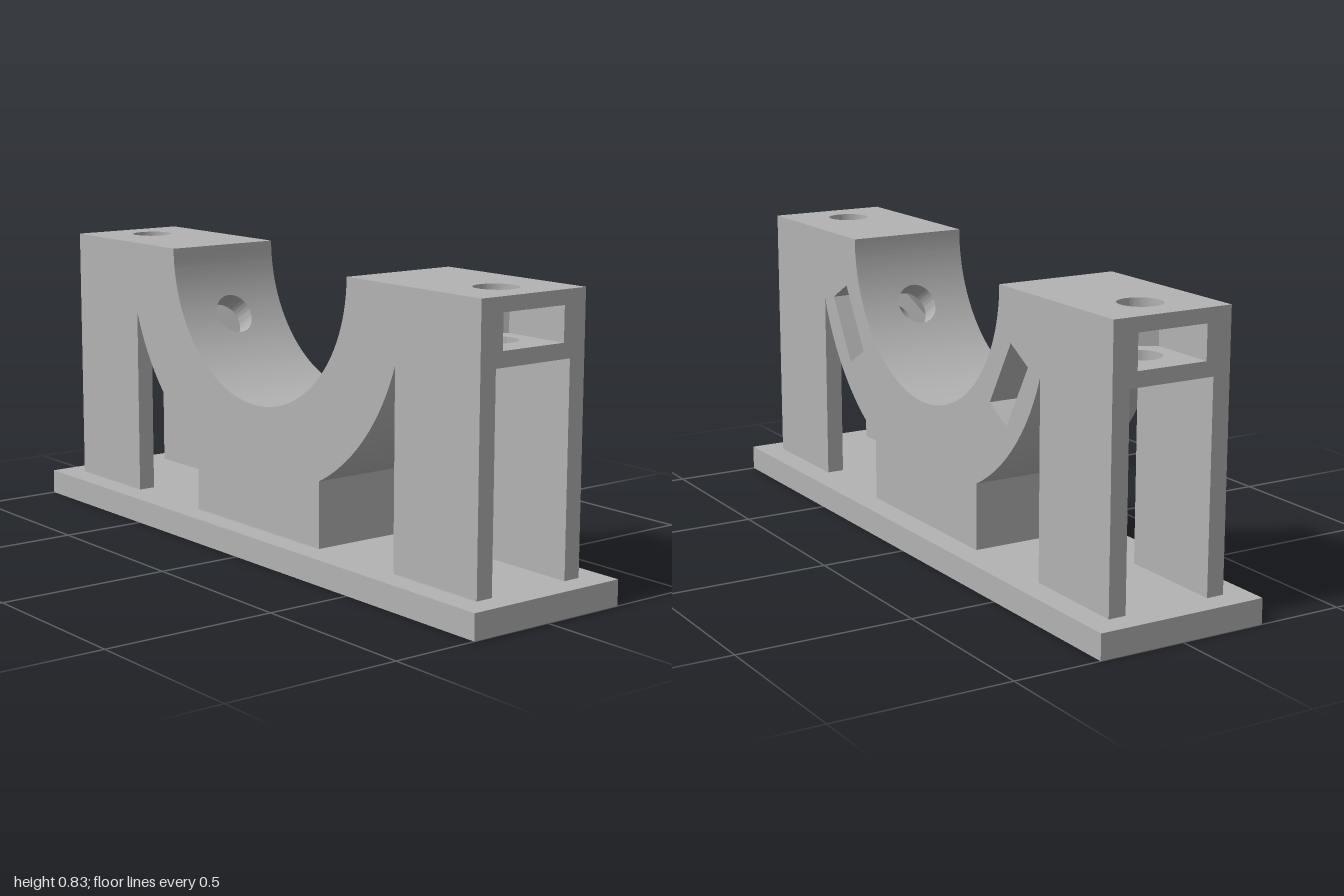
import * as THREE from 'three';
import { toCreasedNormals } from 'three/addons/utils/BufferGeometryUtils.js';

const PLATE_TOP = 0.072, TOP = 0.833, ROOF = 0.655; // heights
const W = 0.178, CHANNEL = 0.127, END = 0.928, LEG_IN = 0.605; // block extents
const R_IN = 0.405, R_OUT = 0.64; // saddle radii, centred on the top plane
const HOLE = 0.06, NUT = 0.1045, NUT_POINT = NUT / Math.cos(Math.PI / 6); // bolt and nut
const BOLT_Z = 0.787, NUT_LOW = 0.697, NUT_HIGH = 0.793;
const NUT_IN = 0.474, NUT_OUT = 0.571; // nut slot radii in the saddle
const TILT = Math.PI / 6; // saddle bolts slope 30 degrees below horizontal

// Half-height of the bolted saddle segment, ending where the channel roof meets the outer arc
const EDGE = Math.asin((TOP - ROOF) / R_OUT);
const T = R_OUT * Math.sin(TILT - EDGE);
const IN_SPREAD = Math.asin(T / R_IN);
const SEAM_Y = TOP - R_IN * Math.sin(TILT - IN_SPREAD);

const gray = new THREE.MeshStandardMaterial({ color: 0xb2b2b2 });
gray.name = 'plain gray';

function add(parent, name, geometry) {
  const mesh = new THREE.Mesh(geometry, gray);
  mesh.name = name;
  parent.add(mesh);
  return mesh;
}

const polygon = (points) => new THREE.Shape(points.map(([x, y]) => new THREE.Vector2(x, y)));

// Extrude a plan shape upwards from y0 to y1 (shape y becomes -z)
function layer(shape, y0, y1, steps = 1) {
  return new THREE.ExtrudeGeometry(shape, { depth: y1 - y0, steps, bevelEnabled: false, curveSegments: 48 })
    .rotateX(-Math.PI / 2).translate(0, y0, 0);
}

// Segment of the saddle with one curved face and a round hole, local y along the bolt
function collar(radius, flat) {
  const outer = [], n = 16, m = 8;
  const corners = [[W, -T], [W, T], [-W, T], [-W, -T]];
  corners.forEach(([x, z], k) => {
    const [x2, z2] = corners[(k + 1) % 4];
    for (let i = 0; i < n; i++) outer.push([x + (x2 - x) * i / n, z + (z2 - z) * i / n]);
  });
  const position = [], index = [], rows = m + 3;
  for (const [x, z] of outer) {
    const start = HOLE / Math.hypot(x, z);
    const section = [[x * start, flat, z * start]];
    for (let k = 0; k <= m; k++) {
      const s = start + (1 - start) * k / m;
      section.push([x * s, Math.sqrt(radius * radius - z * z * s * s), z * s]);
    }
    section.push([x, flat, z]);
    if (radius < flat) section.reverse();
    position.push(...section.flat());
  }
  for (let i = 0; i < outer.length; i++) {
    for (let j = 0; j < rows; j++) {
      const i2 = (i + 1) % outer.length, j2 = (j + 1) % rows;
      const a = i * rows + j, b = i2 * rows + j, c = i2 * rows + j2, d = i * rows + j2;
      index.push(a, b, c, a, c, d);
    }
  }
  const geometry = new THREE.BufferGeometry();
  geometry.setAttribute('position', new THREE.Float32BufferAttribute(position, 3));
  geometry.setIndex(index);
  return toCreasedNormals(geometry, 0.5);
}

// Bolted saddle segment: two collars around a nut slot open towards +x
function saddleSegment(name) {
  const group = new THREE.Group();
  group.name = name;
  add(group, 'innerCollar', collar(R_IN, NUT_IN));
  add(group, 'outerCollar', collar(R_OUT, NUT_OUT));
  const slot = polygon([
    [-W, -T], [W, -T], [W, -NUT], [-NUT_POINT / 2, -NUT], [-NUT_POINT, 0],
    [-NUT_POINT / 2, NUT], [W, NUT], [W, T], [-W, T],
  ]);
  add(group, 'nutSlot', layer(slot, NUT_IN, NUT_OUT));
  return group;
}

// Inner limit of the shoulder: the saddle arc, then the seam with the saddle segment
function shoulderLimit(y) {
  if (y >= SEAM_Y - 1e-5) return Math.sqrt(R_IN ** 2 - (TOP - y) ** 2);
  const z0 = R_IN * Math.cos(TILT - IN_SPREAD), z1 = R_OUT * Math.cos(EDGE);
  return z0 + (z1 - z0) * (SEAM_Y - y) / (SEAM_Y - ROOF);
}

function shoulderLayer(shape, y0, y1, steps) {
  const geometry = layer(shape, y0, y1, steps);
  const p = geometry.attributes.position;
  for (let i = 0; i < p.count; i++) {
    if (p.getZ(i) > -0.55) p.setZ(i, -shoulderLimit(p.getY(i)));
  }
  return toCreasedNormals(geometry, 0.4);
}

// Shoulder on two thin legs, with a vertical bolt hole and a nut slot in its end
function pillar(name) {
  const group = new THREE.Group();
  group.name = name;
  const drilled = polygon([[-W, 0.5], [W, 0.5], [W, END], [-W, END]]);
  drilled.holes.push(new THREE.Path().absarc(0, BOLT_Z, HOLE, 0, Math.PI * 2, true));
  const slotted = polygon([
    [-W, 0.5], [W, 0.5], [W, END], [NUT, END], [NUT, BOLT_Z - NUT_POINT / 2],
    [0, BOLT_Z - NUT_POINT], [-NUT, BOLT_Z - NUT_POINT / 2], [-NUT, END], [-W, END],
  ]);
  add(group, 'shoulderBottom', shoulderLayer(drilled, ROOF, NUT_LOW, 1));
  add(group, 'nutSlotLower', shoulderLayer(slotted, NUT_LOW, SEAM_Y, 1));
  add(group, 'nutSlotUpper', shoulderLayer(slotted, SEAM_Y, NUT_HIGH, 2));
  add(group, 'shoulderTop', shoulderLayer(drilled, NUT_HIGH, TOP, 4));
  for (const side of [-1, 1]) {
    const leg = add(group, side > 0 ? 'leftLeg' : 'rightLeg',
      new THREE.BoxGeometry(W - CHANNEL, ROOF - PLATE_TOP, END - LEG_IN));
    leg.position.set(side * (W + CHANNEL) / 2, (ROOF + PLATE_TOP) / 2, -(END + LEG_IN) / 2);
  }
  return group;
}

// Middle of the saddle standing on its pedestal
function saddleCore() {
  const half = 0.289, foot = Math.acos(half / R_OUT);
  const a = TILT + IN_SPREAD, b = TILT * 2 - EDGE;
  const shape = new THREE.Shape();
  shape.absarc(0, TOP, R_IN, -a, a - Math.PI, true);
  shape.absarc(0, TOP, R_OUT, b - Math.PI, foot - Math.PI, false);
  shape.lineTo(-half, PLATE_TOP);
  shape.lineTo(half, PLATE_TOP);
  shape.absarc(0, TOP, R_OUT, -foot, -b, false);
  const geometry = new THREE.ExtrudeGeometry(shape, { depth: 2 * W, bevelEnabled: false, curveSegments: 32 });
  return toCreasedNormals(geometry.translate(0, 0, -W).rotateY(Math.PI / 2), 0.4);
}

export function createModel() {
  const model = new THREE.Group();
  model.name = 'saddleMount';
  add(model, 'basePlate', new THREE.BoxGeometry(0.5, PLATE_TOP, 2)).position.y = PLATE_TOP / 2;
  add(model, 'saddleAndPedestal', saddleCore());

  for (const side of [1, -1]) {
    const end = side > 0 ? 'front' : 'back';
    const segment = saddleSegment(end + 'SaddleSegment');
    segment.position.y = TOP;
    segment.rotation.x = side * (Math.PI / 2 + TILT);
    const post = pillar(end + 'Pillar');
    post.rotation.y = side > 0 ? Math.PI : 0;
    model.add(segment, post);
  }
  return model;
}
